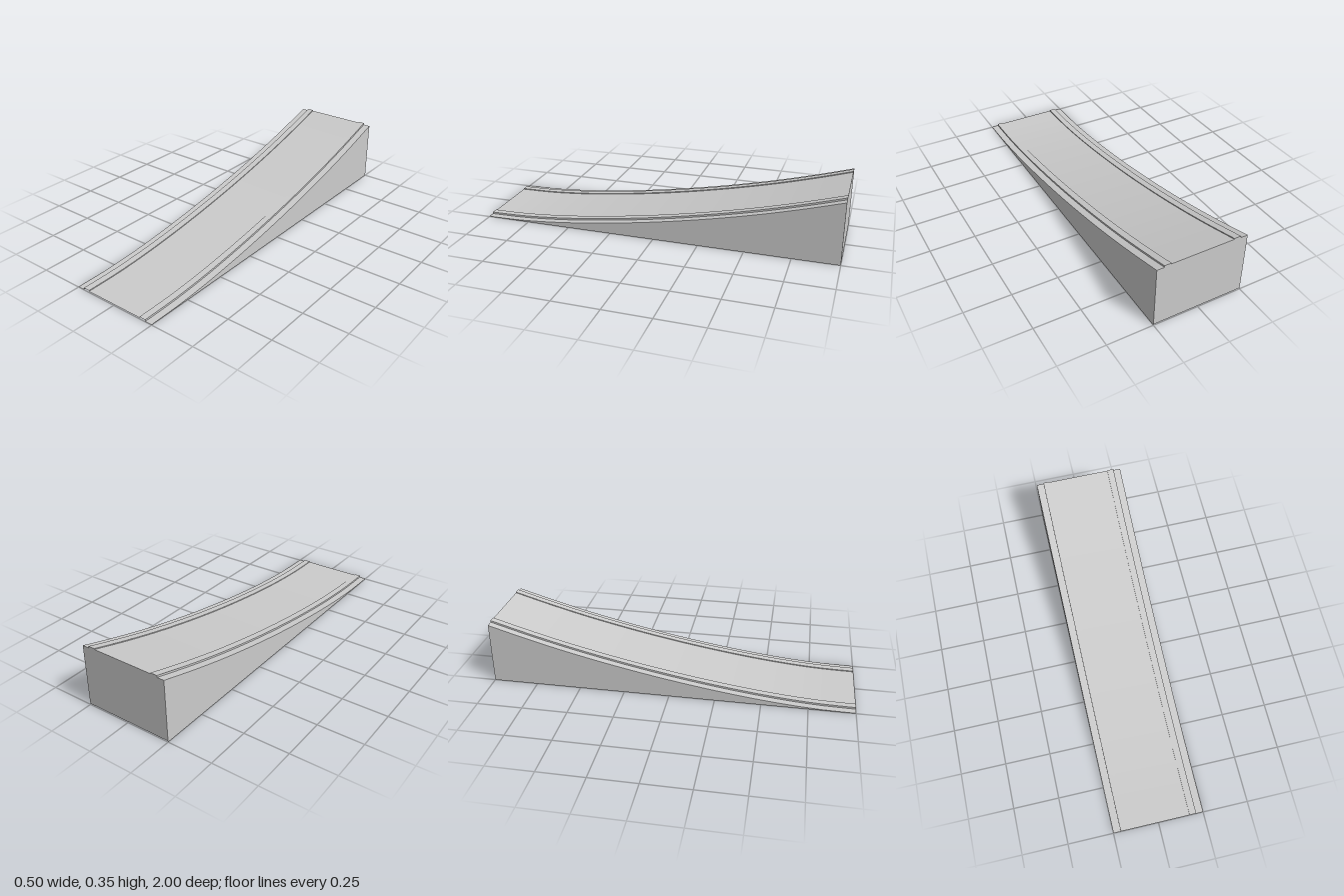
import * as THREE from 'three';

const material = new THREE.MeshStandardMaterial({ color: 0xcccccc, side: THREE.DoubleSide });

// Height of the rail tops at even steps from the front (z = 1) to the back (z = -1)
const heights = [0.012, 0.016, 0.030, 0.052, 0.080, 0.113, 0.151, 0.194, 0.242, 0.296, 0.355];
const rise = new THREE.SplineCurve(heights.map((y, i) => new THREE.Vector2(1 - 0.2 * i, y)));
const path = rise.getPoints(60);

// Half-width and drop below the rail tops for each level of the deck
const EDGE = 0.25, RAIL_OUT = 0.21, RAIL_IN = 0.173;
const EDGE_DROP = 0.01, DECK_DROP = 0.005;

// Strip lofted along the ramp between two section points; drop === null means the ground
function strip(name, [x0, drop0], [x1, drop1]) {
  const height = (y, drop) => (drop === null ? 0 : y - drop);
  const positions = [], index = [];
  path.forEach((p, i) => {
    positions.push(x0, height(p.y, drop0), p.x, x1, height(p.y, drop1), p.x);
    if (i > 0) {
      const a = 2 * (i - 1);
      index.push(a, a + 1, a + 2, a + 1, a + 3, a + 2);
    }
  });
  const geometry = new THREE.BufferGeometry();
  geometry.setAttribute('position', new THREE.Float32BufferAttribute(positions, 3));
  geometry.setIndex(index);
  geometry.computeVertexNormals();
  const mesh = new THREE.Mesh(geometry, material);
  mesh.name = name;
  return mesh;
}

export function createModel() {
  const ramp = new THREE.Group();
  ramp.name = 'ramp';

  // Cross-section from the right-hand ground edge over the deck to the left-hand one
  const half = [
    [-EDGE, null], [-EDGE, EDGE_DROP], [-RAIL_OUT, EDGE_DROP],
    [-RAIL_OUT, 0], [-RAIL_IN, 0], [-RAIL_IN, DECK_DROP],
  ];
  const section = [...half, ...half.map(([x, d]) => [-x, d]).reverse()];
  const parts = ['SideWall', 'Edge', 'RailOuterStep', 'RailTop', 'RailInnerStep'];
  const names = [
    ...parts.map((n) => 'right' + n), 'deck',
    ...parts.map((n) => 'left' + n).reverse(),
  ];
  names.forEach((name, i) => ramp.add(strip(name, section[i], section[i + 1])));

  // Back wall follows the section at full height; the underside stays open
  const top = heights[heights.length - 1];
  const outline = section.map(([x, d]) => new THREE.Vector2(x, d === null ? 0.006 : top - d));
  const backWall = new THREE.Mesh(new THREE.ShapeGeometry(new THREE.Shape(outline)), material);
  backWall.name = 'backWall';
  backWall.rotation.y = Math.PI;
  backWall.position.z = -1;
  ramp.add(backWall);

  return ramp;
}
